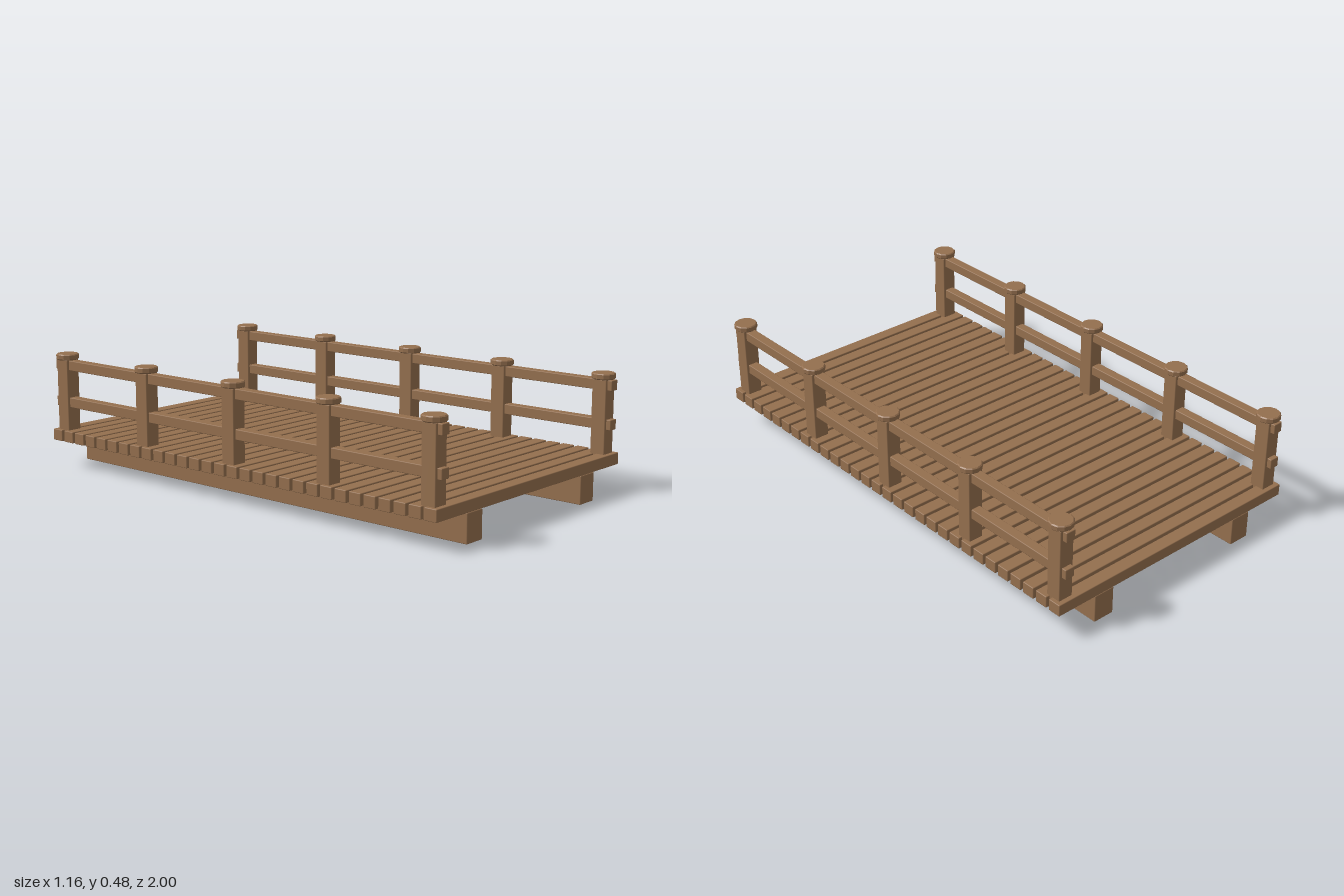
import * as THREE from 'three';
import { RoundedBoxGeometry } from 'three/addons/geometries/RoundedBoxGeometry.js';

export function createModel() {
  const bridge = new THREE.Group();
  bridge.name = 'woodenBridge';
  const wood = new THREE.MeshStandardMaterial({ color: 0x946f4e });
  wood.name = 'wood';
  const capWood = wood.clone();
  capWood.flatShading = true;

  const add = (name, geometry, material, x, y, z) => {
    const mesh = new THREE.Mesh(geometry, material);
    mesh.name = name;
    mesh.position.set(x, y, z);
    bridge.add(mesh);
  };
  // Timber with slightly eased edges
  const timber = (w, h, d) => new RoundedBoxGeometry(w, h, d, 1, 0.003);

  // Deck planks laid across the beams
  const plankCount = 30, plankDepth = 0.054;
  const plank = timber(1.16, 0.047, plankDepth);
  for (let i = 0; i < plankCount; i++) {
    const z = -1 + plankDepth / 2 + i * (2 - plankDepth) / (plankCount - 1);
    add('deckPlank', plank, wood, 0, 0.1365, z);
  }

  const beam = timber(0.09, 0.113, 2);
  const rail = timber(0.041, 0.041, 2);
  const post = timber(0.062, 0.343, 0.062);
  // Post cap: a short disc with chamfered rims
  const cap = new THREE.LatheGeometry([
    [0, 0], [0.043, 0], [0.047, 0.004], [0.047, 0.02], [0.043, 0.024], [0, 0.024],
  ].map(([x, y]) => new THREE.Vector2(x, y)), 12);

  for (const side of [-1, 1]) {
    const x = side * 0.533;
    // Support beam under the deck
    add('supportBeam', beam, wood, side * 0.36, 0.0565, 0);
    // Hand rail and middle rail
    add('handRail', rail, wood, x, 0.43, 0);
    add('middleRail', rail, wood, x, 0.276, 0);
    // Posts with caps
    for (let i = -2; i <= 2; i++) {
      add('railPost', post, wood, x, 0.2805, i * 0.475);
      add('postCap', cap, capWood, x, 0.452, i * 0.475);
    }
  }
  return bridge;
}
